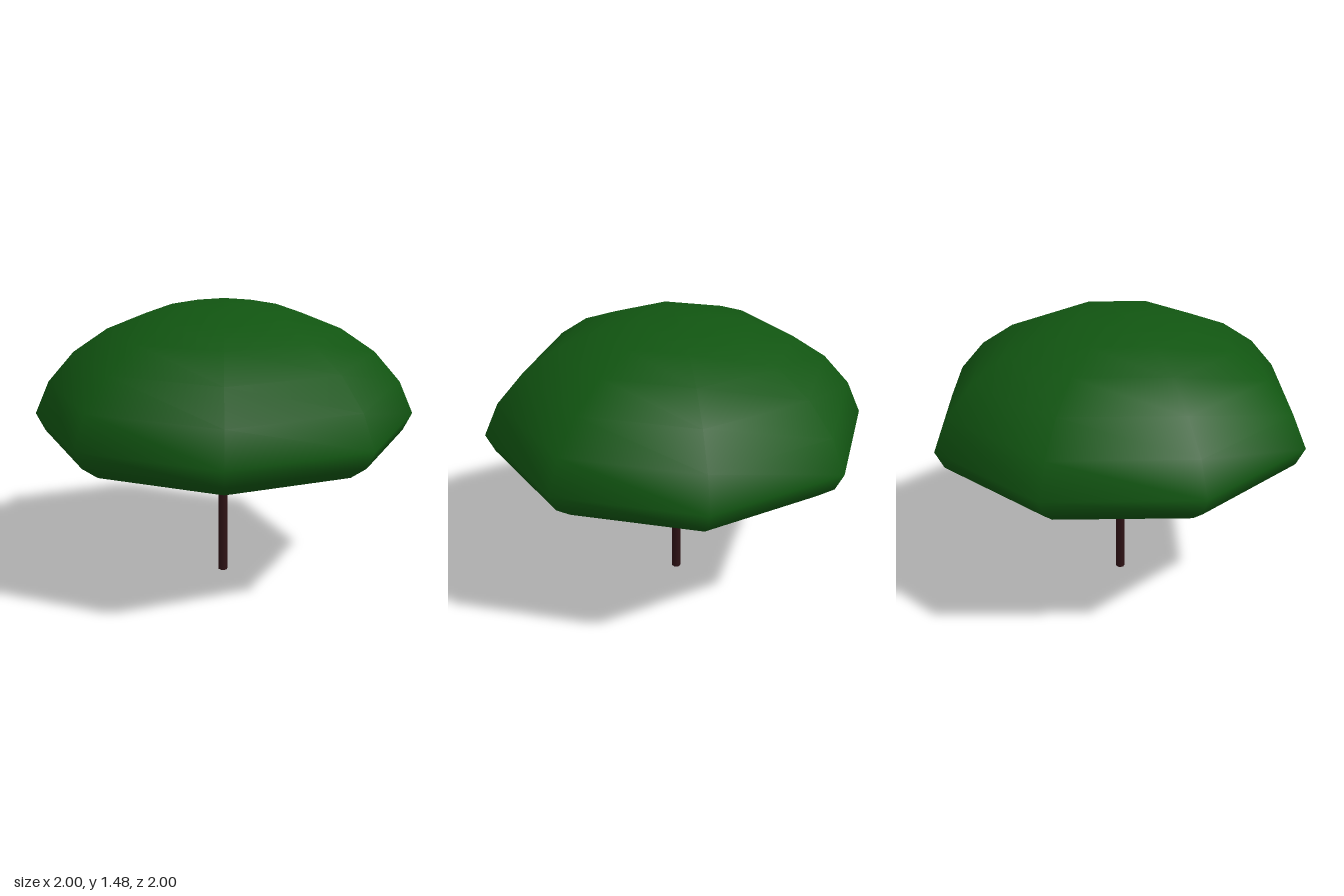
import * as THREE from 'three';

export function createModel() {
  const model = new THREE.Group();
  const leafGreen = new THREE.MeshStandardMaterial({ color: 0x115511 });
  leafGreen.name = 'leafGreen';
  const barkBrown = new THREE.MeshStandardMaterial({ color: 0x2e1215 });
  barkBrown.name = 'barkBrown';

  // Canopy: eight-sided smooth dome with a tucked-in rim and nearly flat underside
  const profile = [
    [0, 0.725], [0.34, 0.725], [0.86, 0.73], [0.953, 0.797], [1, 0.89],
    [0.925, 1.062], [0.787, 1.222], [0.607, 1.345], [0.4, 1.428], [0.197, 1.473], [0, 1.48],
  ].map(([r, y]) => new THREE.Vector2(r, y));
  const canopy = new THREE.Mesh(new THREE.LatheGeometry(profile, 8), leafGreen);
  canopy.name = 'canopy';
  model.add(canopy);

  // Trunk: slim six-sided post, slightly off centre
  const trunk = new THREE.Mesh(new THREE.CylinderGeometry(0.025, 0.025, 0.74, 6), barkBrown);
  trunk.name = 'trunk';
  trunk.position.set(-0.008, 0.37, 0);
  model.add(trunk);

  return model;
}
